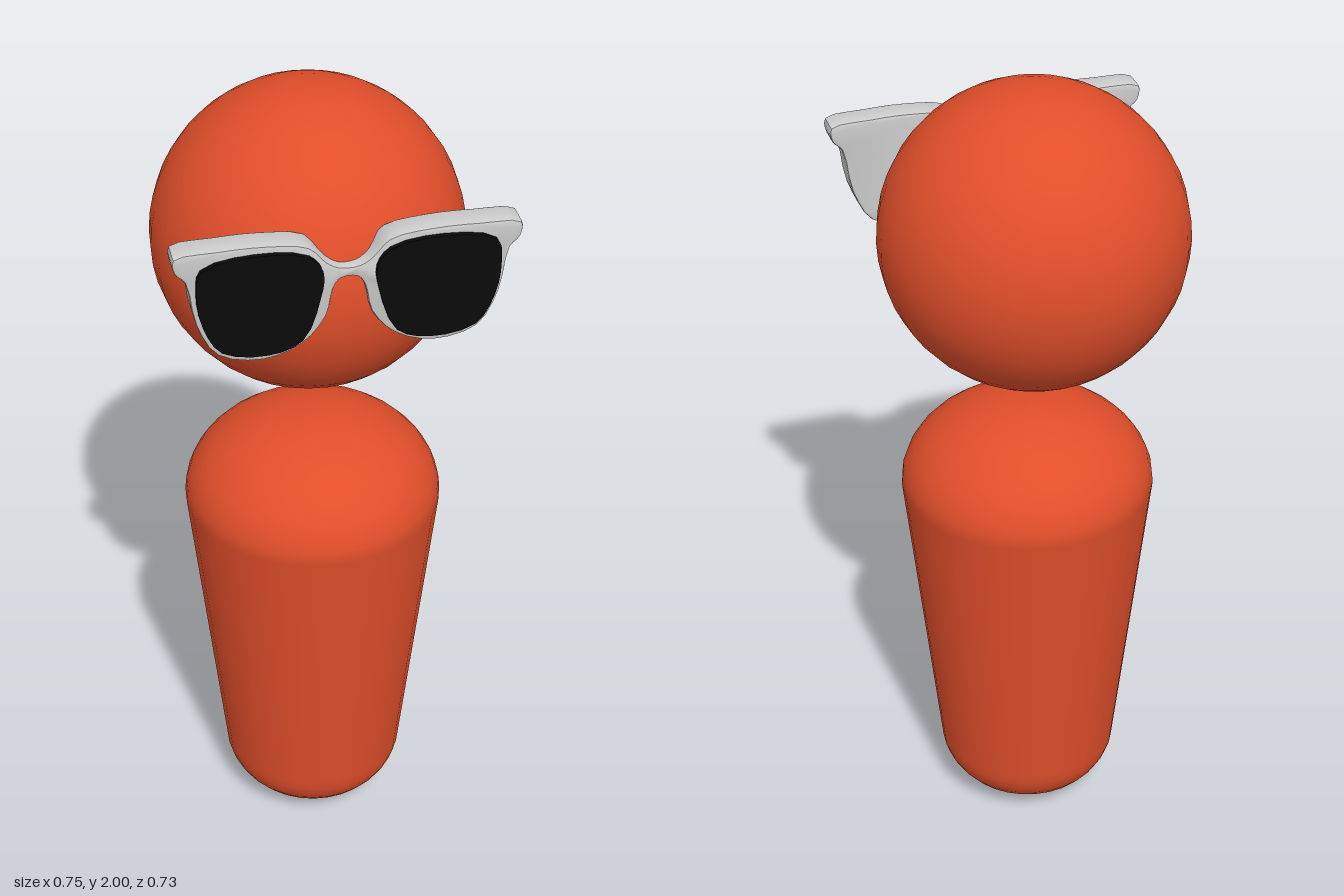
import * as THREE from 'three';
import { toCreasedNormals } from 'three/addons/utils/BufferGeometryUtils.js';

const skin = new THREE.MeshStandardMaterial({ color: 0xe04e2a });
const grey = new THREE.MeshStandardMaterial({ color: 0xcccccc });
const black = new THREE.MeshStandardMaterial({ color: 0x0a0a0a });

const toVectors = (points) => points.map(([x, y]) => new THREE.Vector2(x, y));
const mirrored = (points) => points.map(([x, y]) => [-x, y]).reverse();

function addMesh(group, name, geometry, material, x = 0, y = 0, z = 0) {
  const mesh = new THREE.Mesh(geometry, material);
  mesh.name = name;
  mesh.position.set(x, y, z);
  group.add(mesh);
  return mesh;
}

// Plate with a softly curved outline, between two z planes
function plate(points, back, front, bevel) {
  const outline = new THREE.CatmullRomCurve3(
    points.map(([x, y]) => new THREE.Vector3(x, y, 0)), true, 'centripetal');
  const shape = new THREE.Shape(outline.getPoints(points.length * 3).slice(0, -1)
    .map((p) => new THREE.Vector2(p.x, p.y)));
  const geometry = new THREE.ExtrudeGeometry(shape, {
    depth: front - back - 2 * bevel, bevelEnabled: bevel > 0, bevelThickness: bevel,
    bevelSize: bevel, bevelOffset: -bevel, bevelSegments: 2,
  });
  geometry.translate(0, 0, back + bevel);
  return toCreasedNormals(geometry, 0.7);
}

export function createModel() {
  const model = new THREE.Group();
  model.name = 'figure';

  // Floating round head
  addMesh(model, 'head', new THREE.SphereGeometry(0.357, 32, 24), skin, -0.015, 1.643, -0.007);

  // Tapered body with domed ends
  const profile = [];
  const steps = 10;
  for (let i = 0; i <= steps; i++) {
    const a = (i / steps) * Math.PI / 2;
    profile.push([0.225 * Math.sin(a), 0.17 - 0.17 * Math.cos(a)]);
  }
  for (let i = 0; i <= steps; i++) {
    const a = (i / steps) * Math.PI / 2;
    profile.push([0.307 * Math.cos(a), 0.95 + 0.214 * Math.sin(a)]);
  }
  profile[0][0] = profile[profile.length - 1][0] = 0;
  addMesh(model, 'body', new THREE.LatheGeometry(toVectors(profile), 32), skin, -0.014, 0, 0.038);

  // Glasses: one solid frame, symmetric about the bridge
  const glasses = new THREE.Group();
  glasses.name = 'glasses';
  model.add(glasses);

  const rimHalf = [
    [0.018, 1.736], [0.034, 1.714], [0.05, 1.645], [0.103, 1.582], [0.188, 1.553],
    [0.285, 1.577], [0.33, 1.66], [0.35, 1.767], [0.371, 1.79], [0.373, 1.826],
    [0.283, 1.835], [0.177, 1.835], [0.087, 1.82], [0.05, 1.781], [0.022, 1.764],
  ];
  addMesh(glasses, 'frame', plate([...rimHalf, ...mirrored(rimHalf)], 0.288, 0.352, 0.006), grey);

  // Dark lenses standing slightly proud of the frame
  const lens = [
    [0.064, 1.70], [0.103, 1.598], [0.177, 1.571], [0.278, 1.59], [0.318, 1.66],
    [0.329, 1.74], [0.318, 1.796], [0.204, 1.82], [0.087, 1.802], [0.058, 1.762],
  ];
  addMesh(glasses, 'leftLens', plate(lens, 0.34, 0.363, 0), black);
  addMesh(glasses, 'rightLens', plate(mirrored(lens), 0.34, 0.363, 0), black);

  return model;
}
